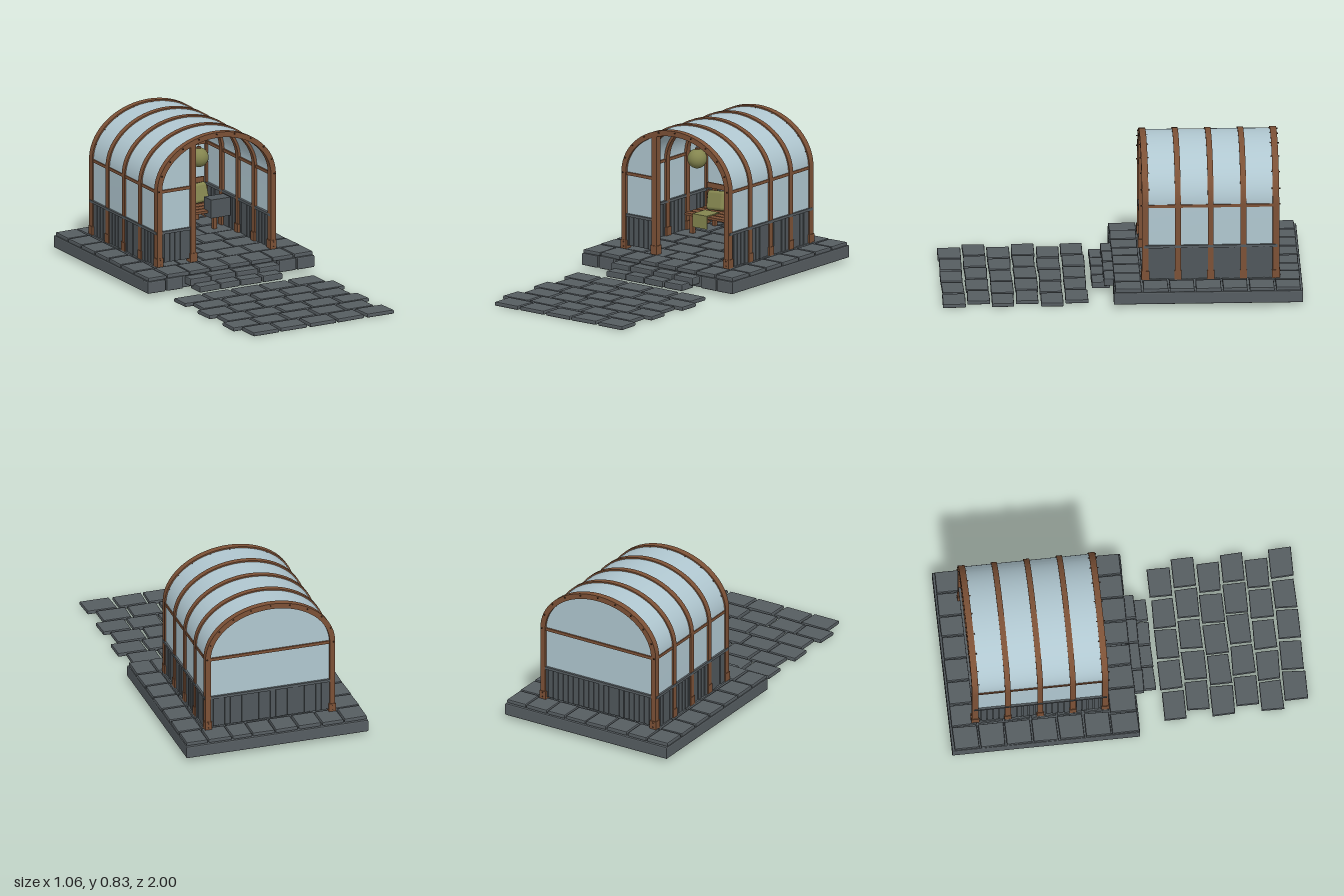
import * as THREE from 'three';
import { toCreasedNormals } from 'three/addons/utils/BufferGeometryUtils.js';
import { RoundedBoxGeometry } from 'three/addons/geometries/RoundedBoxGeometry.js';

const material = (name, color, side = THREE.FrontSide) => {
  const m = new THREE.MeshStandardMaterial({ color, side });
  m.name = name;
  return m;
};

export function createModel() {
  const model = new THREE.Group();
  model.name = 'gardenRoom';
  const stone = material('slate grey stone', 0x565d61);
  const panel = material('grey painted boards', 0x50575b);
  const wood = material('brown wood', 0x7c5136);
  const darkWood = material('dark rivets', 0x4a3122);
  const glass = material('pale blue glass', 0xb0c7d0, THREE.DoubleSide);
  const olive = material('olive fabric', 0x84854f);

  let seed = 7;
  const jitter = (a) => {
    seed = (seed * 16807) % 2147483647;
    return (seed / 2147483647 - 0.5) * 2 * a;
  };
  const group = (name, parent = model) => {
    const g = new THREE.Group();
    g.name = name;
    parent.add(g);
    return g;
  };
  const add = (parent, name, geometry, mat) => {
    const m = new THREE.Mesh(geometry, mat);
    m.name = name;
    parent.add(m);
    return m;
  };
  const box = (parent, name, mat, x0, x1, y0, y1, z0, z1) => {
    const m = add(parent, name, new THREE.BoxGeometry(x1 - x0, y1 - y0, z1 - z0), mat);
    m.position.set((x0 + x1) / 2, (y0 + y1) / 2, (z0 + z1) / 2);
    return m;
  };
  const extrude = (parent, name, mat, shape, z0, z1) => {
    const geo = new THREE.ExtrudeGeometry(shape, { depth: z1 - z0, bevelEnabled: false, curveSegments: 40 });
    const m = add(parent, name, toCreasedNormals(geo, 0.5), mat);
    m.position.z = z0;
    return m;
  };
  // Hewn stone: a slightly crooked slab with bevelled edges
  const hewn = (parent, name, x0, x1, y0, y1, z0, z1, wobble = 0.005) => {
    const b = Math.min(0.007, (y1 - y0) * 0.3);
    const j = () => -Math.abs(jitter(wobble));
    const s = new THREE.Shape();
    s.moveTo(x0 + b - j(), -z1 + b - j());
    s.lineTo(x1 - b + j(), -z1 + b - j());
    s.lineTo(x1 - b + j(), -z0 - b + j());
    s.lineTo(x0 + b - j(), -z0 - b + j());
    s.closePath();
    const geo = new THREE.ExtrudeGeometry(s, { depth: y1 - y0 - 2 * b, bevelThickness: b, bevelSize: b, bevelSegments: 2 });
    geo.rotateX(-Math.PI / 2).translate(0, y0 + b, 0);
    return add(parent, name, geo, stone);
  };
  const stoneRow = (parent, name, n, x0, x1, y0, y1, z0, z1) => {
    const w = (x1 - x0) / n;
    let left = x0;
    for (let i = 0; i < n; i++) {
      const right = i === n - 1 ? x1 : x0 + (i + 1) * w + jitter(0.01);
      hewn(parent, name, left + 0.002, right - 0.002, y0, y1 + jitter(0.002), z0, z1);
      left = right;
    }
  };

  // Stone platform, its flagstones, front blocks and steps
  const platform = group('platform');
  hewn(platform, 'platformSlab', -0.53, 0.53, 0.02, 0.092, -1, 0, 0);
  for (let i = 0; i < 7; i++) {
    const z0 = -0.99 + i * 0.147;
    if (i === 0 || i === 6) stoneRow(platform, 'flagstone', 8, -0.53, 0.53, 0.088, 0.113, z0, i ? 0.045 : z0 + 0.143);
    else {
      hewn(platform, 'flagstone', -0.53, -0.39, 0.088, 0.113, z0, z0 + 0.143);
      stoneRow(platform, 'floorStone', i % 2 ? 5 : 4, -0.387, 0.387, 0.088, 0.111, z0, z0 + 0.143);
      hewn(platform, 'flagstone', 0.39, 0.53, 0.088, 0.113, z0, z0 + 0.143);
    }
  }
  for (const s of [0, 1]) stoneRow(platform, 'frontBlock', 2, s ? 0.305 : -0.535, s ? 0.535 : -0.305, 0.02, 0.092, -0.03, 0.05);
  stoneRow(platform, 'frontBlock', 4, -0.305, 0.305, 0.02, 0.09, -0.03, 0.035);
  stoneRow(platform, 'upperStep', 4, -0.29, 0.29, 0.04, 0.085, 0.02, 0.1);
  stoneRow(platform, 'lowerStep', 4, -0.27, 0.27, 0.018, 0.056, 0.06, 0.165);

  // Staggered paving in front of the steps
  const path = group('path');
  for (let r = 0; r < 6; r++) {
    const x0 = r % 2 ? -0.405 : -0.45, z0 = 0.185 + r * 0.136;
    for (let i = 0; i < 5; i++) {
      const x = x0 + i * 0.182;
      hewn(path, 'paver', x, x + 0.174 + jitter(0.003), 0, 0.024, z0 + 0.002, z0 + 0.133, 0.007);
    }
  }

  // Arched outline: two upright legs joined by half an ellipse
  const SPRING = 0.545;
  const arch = (rx, ry, y0, Type = THREE.Shape) => {
    const s = new Type();
    s.moveTo(rx, y0);
    s.lineTo(rx, SPRING);
    s.absellipse(0, SPRING, rx, ry, 0, Math.PI, false, 0);
    s.lineTo(-rx, y0);
    s.closePath();
    return s;
  };
  const hoop = (rx, ry, t, y0) => {
    const s = new THREE.Shape();
    s.moveTo(rx, y0);
    s.lineTo(rx, SPRING);
    s.absellipse(0, SPRING, rx, ry, 0, Math.PI, false, 0);
    s.lineTo(-rx, y0);
    s.lineTo(-rx + t, y0);
    s.lineTo(-rx + t, SPRING);
    s.absellipse(0, SPRING, rx - t, ry - t, Math.PI, 0, true, 0);
    s.lineTo(rx - t, y0);
    s.closePath();
    return s;
  };

  // Five wooden ribs with feet, and rivets on the two end ribs
  const frame = group('frame');
  const ribZ = [-0.13, -0.311, -0.493, -0.674, -0.855];
  ribZ.forEach((z, i) => {
    const w = i % 4 ? 0.016 : 0.018;
    extrude(frame, 'rib', wood, hoop(0.378, 0.29, 0.031, 0.11), z - w, z + w);
    for (const s of [-1, 1]) box(frame, 'ribFoot', wood, s * 0.361 - 0.02, s * 0.361 + 0.02, 0.11, 0.16, z - w - 0.004, z + w + 0.004);
    if (i % 4) return;
    const rivets = [];
    for (let k = 0; k <= 10; k++) {
      const a = (k / 10) * Math.PI;
      rivets.push([Math.cos(a) * 0.368, SPRING + Math.sin(a) * 0.28]);
    }
    for (const s of [-1, 1]) rivets.push([s * 0.361, 0.125], [s * 0.361, 0.15]);
    for (const [x, y] of rivets) {
      const m = add(frame, 'rivet', new THREE.CylinderGeometry(0.004, 0.004, 0.05, 8), darkWood);
      m.rotation.x = Math.PI / 2;
      m.position.set(x, y, z);
    }
  });

  // Door post and the rails at the foot of the arch
  box(frame, 'doorPost', wood, -0.165, -0.13, 0.11, 0.798, -0.147, -0.112);
  box(frame, 'doorPostFoot', wood, -0.168, -0.125, 0.11, 0.16, -0.152, -0.107);
  box(frame, 'frontRail', wood, -0.36, -0.15, 0.532, 0.549, -0.141, -0.117);
  box(frame, 'backRail', wood, -0.36, 0.36, 0.532, 0.549, -0.868, -0.843);
  for (const s of [-1, 1]) box(frame, 'sideRail', wood, s * 0.364 - 0.011, s * 0.364 + 0.011, 0.532, 0.549, -0.855, -0.13);

  // Glass vault, back gable and front side light
  const glazing = group('glazing');
  extrude(glazing, 'vaultGlass', glass, hoop(0.37, 0.282, 0.008, 0.3), -0.855, -0.13);
  extrude(glazing, 'backGlass', glass, arch(0.355, 0.268, 0.3), -0.859, -0.851);
  const light = new THREE.Shape();
  light.moveTo(-0.15, 0.3);
  light.lineTo(-0.15, SPRING + 0.268 * Math.sqrt(1 - (0.15 / 0.355) ** 2));
  light.absellipse(0, SPRING, 0.355, 0.268, Math.PI - Math.acos(0.15 / 0.355), Math.PI, false, 0);
  light.lineTo(-0.355, 0.3);
  light.closePath();
  extrude(glazing, 'frontGlass', glass, light, -0.134, -0.126);

  // Low boarded walls: backing, upright boards and a cap, laid along local x
  const boarding = (name, length, n, x, z, turn, y0) => {
    const g = group(name);
    box(g, 'backing', panel, -length / 2, length / 2, y0, 0.3, -0.004, 0.004);
    const w = length / n;
    for (let i = 0; i < n; i++) {
      const d = 0.009 + jitter(0.002), a = -length / 2 + i * w;
      box(g, 'board', panel, a + 0.0025, a + w - 0.0025, y0, 0.3, -d, d);
    }
    box(g, 'capRail', stone, -length / 2 - 0.008, length / 2 + 0.008, 0.296, 0.311, -0.017, 0.017);
    g.position.set(x, 0, z);
    g.rotation.y = turn;
  };
  boarding('backWall', 0.73, 22, 0, -0.855, 0, 0.125);
  boarding('frontWall', 0.205, 6, -0.262, -0.13, 0, 0.13);
  for (const s of [-1, 1]) boarding('sideWall', 0.725, 22, s * 0.364, -0.4925, Math.PI / 2, 0.11);

  // Slatted bench against the back wall
  const bench = group('bench');
  for (let i = 0; i < 4; i++) box(bench, 'seatSlat', wood, -0.315, 0.315, 0.211, 0.225, -0.79 + i * 0.05, -0.748 + i * 0.05);
  for (const y of [0.245, 0.285, 0.328]) box(bench, 'backSlat', wood, -0.315, 0.315, y, y + 0.03, -0.812, -0.8);
  for (const x of [-0.275, 0, 0.275]) {
    box(bench, 'frontLeg', wood, x - 0.011, x + 0.011, 0.11, 0.211, -0.63, -0.608);
    box(bench, 'backLeg', wood, x - 0.011, x + 0.011, 0.11, 0.35, -0.828, -0.808);
    box(bench, 'bearer', wood, x - 0.009, x + 0.009, 0.195, 0.211, -0.81, -0.62);
  }

  // Cushions, throw and grey box on the bench
  const soft = group('cushions');
  for (const [x, z, tilt] of [[0.135, -0.735, -0.12], [0.248, -0.755, 0.08], [-0.2, -0.74, 0.08]]) {
    const geo = new RoundedBoxGeometry(0.12, 0.11, 0.05, 4, 0.018);
    const p = geo.attributes.position;
    for (let i = 0; i < p.count; i++) {
      const u = p.getX(i) / 0.06, v = p.getY(i) / 0.055;
      p.setZ(i, p.getZ(i) * (1.15 - 0.3 * (u * u + v * v)));
    }
    const m = add(soft, 'cushion', geo, olive);
    m.position.set(x, 0.283, z);
    m.rotation.set(-0.25, 0, tilt);
  }
  box(soft, 'throwTop', olive, -0.25, -0.15, 0.225, 0.231, -0.7, -0.588);
  box(soft, 'throwDrop', olive, -0.25, -0.15, 0.155, 0.231, -0.596, -0.588);
  box(bench, 'greyBox', panel, 0.222, 0.345, 0.19, 0.296, -0.64, -0.56);

  // Hanging globe lamp
  const lamp = group('lamp');
  lamp.position.set(0, 0, -0.311);
  add(lamp, 'globe', new THREE.SphereGeometry(0.055, 32, 20), olive).position.y = 0.642;
  add(lamp, 'lampCap', new THREE.CylinderGeometry(0.012, 0.014, 0.01, 16), wood).position.y = 0.698;
  add(lamp, 'cord', new THREE.CylinderGeometry(0.0025, 0.0025, 0.115, 8), wood).position.y = 0.755;

  return model;
}
